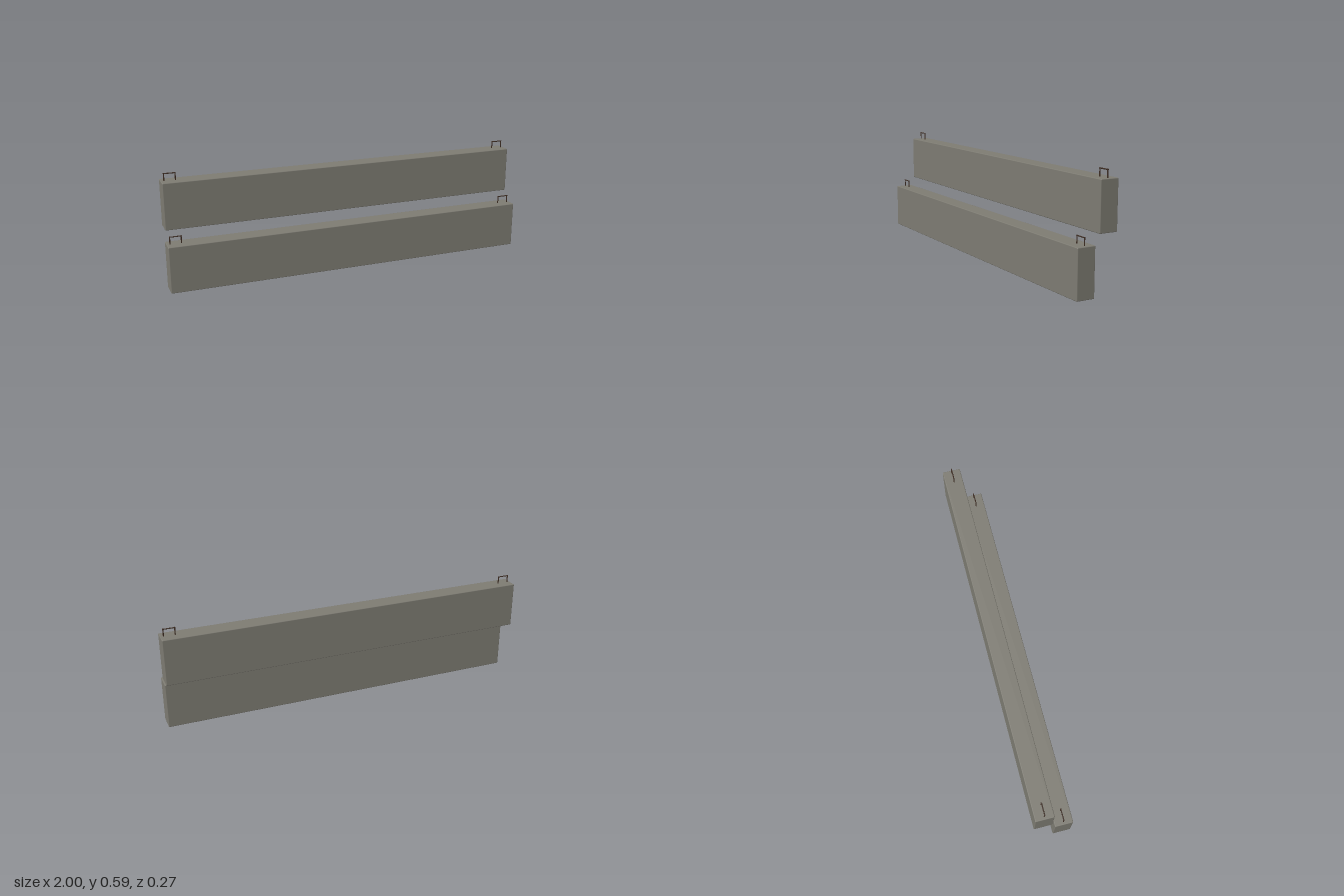
import * as THREE from 'three';
import { RoundedBoxGeometry } from 'three/addons/geometries/RoundedBoxGeometry.js';

const LENGTH = 1.991, HEIGHT = 0.248, DEPTH = 0.098;

export function createModel() {
  const concrete = new THREE.MeshStandardMaterial({ color: 0x7d7b72 });
  concrete.name = 'concrete grey';
  const steel = new THREE.MeshStandardMaterial({ color: 0x3d2c22 });
  steel.name = 'rusty steel';

  const beamGeometry = new RoundedBoxGeometry(LENGTH, HEIGHT, DEPTH, 2, 0.004);
  const rod = 0.003, span = 0.058, rise = 0.041;
  const legGeometry = new THREE.CylinderGeometry(rod, rod, rise + 0.01, 8);
  const barGeometry = new THREE.CylinderGeometry(rod, rod, span + rod * 2, 8).rotateZ(Math.PI / 2);

  // Square lifting loop: two legs sunk into the beam and a top bar
  function liftingLoop() {
    const loop = new THREE.Group();
    loop.name = 'liftingLoop';
    for (const side of [-1, 1]) {
      const leg = new THREE.Mesh(legGeometry, steel);
      leg.name = 'loopLeg';
      leg.position.set(side * span / 2, (rise - 0.01) / 2, 0);
      loop.add(leg);
    }
    const bar = new THREE.Mesh(barGeometry, steel);
    bar.name = 'loopBar';
    bar.position.y = rise - rod;
    loop.add(bar);
    return loop;
  }

  // Beam with a lifting loop near each end
  function beam(name, x, y, z) {
    const group = new THREE.Group();
    group.name = name;
    const body = new THREE.Mesh(beamGeometry, concrete);
    body.name = 'beamBody';
    body.position.y = HEIGHT / 2;
    group.add(body);
    for (const side of [-1, 1]) {
      const loop = liftingLoop();
      loop.position.set(side * 0.949, HEIGHT, 0);
      group.add(loop);
    }
    group.position.set(x, y, z);
    group.rotation.y = 0.0288;
    return group;
  }

  const model = new THREE.Group();
  model.name = 'stackedBeams';
  model.add(beam('lowerBeam', -0.003, 0.001, 0.057));
  model.add(beam('upperBeam', 0.003, 0.301, -0.056));
  return model;
}
